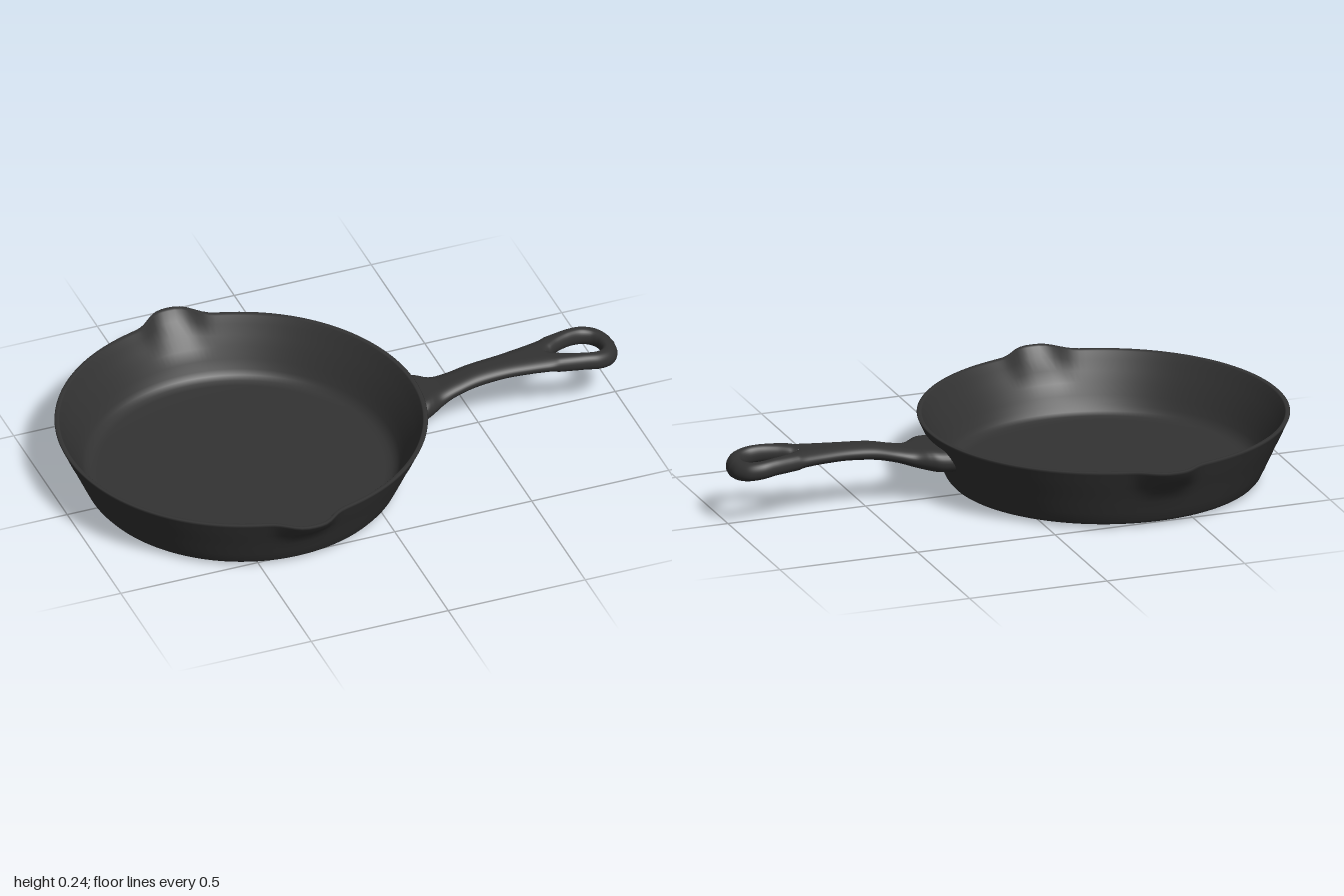
import * as THREE from 'three';
import { mergeVertices } from 'three/addons/utils/BufferGeometryUtils.js';

const { smoothstep, lerp, clamp } = THREE.MathUtils;
const PAN_X = -0.365;
const iron = new THREE.MeshStandardMaterial({ color: 0x333333 });

// Weld seams and rebuild smooth normals
function smooth(geometry) {
  geometry.deleteAttribute('uv');
  geometry.deleteAttribute('normal');
  const g = mergeVertices(geometry, 1e-5);
  g.computeVertexNormals();
  return g;
}

// Lathed pan, with a pouring spout pulled out of the rim at +z and -z
function panGeometry() {
  const profile = [
    [0, 0], [0.3, 0.002], [0.49, 0.007], [0.515, 0.009], [0.53, 0.014], [0.54, 0.026],
    [0.556, 0.06], [0.574, 0.1], [0.592, 0.14], [0.607, 0.17], [0.62, 0.2], [0.632, 0.226], [0.635, 0.233],
    [0.632, 0.236], [0.621, 0.236], [0.617, 0.232], [0.605, 0.205], [0.588, 0.17], [0.572, 0.135],
    [0.555, 0.095], [0.541, 0.063], [0.53, 0.045], [0.513, 0.034], [0.49, 0.03], [0.3, 0.028], [0, 0.028],
  ].map(([r, y]) => new THREE.Vector2(r, y));
  const g = new THREE.LatheGeometry(profile, 192, Math.PI / 2);
  const p = g.attributes.position;
  for (let i = 0; i < p.count; i++) {
    const x = p.getX(i), y = p.getY(i), z = p.getZ(i), r = Math.hypot(x, z);
    if (r < 0.54) continue;
    const a = Math.atan2(Math.abs(x), Math.abs(z));
    const bump = 0.9 * Math.exp(-((a / 0.14) ** 3)) + 0.1 * Math.exp(-((a / 0.2) ** 2));
    const k = 1 + (0.062 * bump * smoothstep(y, 0.12, 0.235)) / r;
    p.setXYZ(i, x * k, y + 0.007 * bump * smoothstep(y, 0.2, 0.236), z * k);
  }
  return smooth(g);
}

// Half a handle: each station spans from the centre line (or hole edge) to the outline
// inner x, inner z, outer x, outer z, top, bottom, rounding of the inner edge
const STATIONS = [
  [0.225, 0, 0.21, 0.122, 0.196, 0.115, 0],
  [0.27, 0, 0.265, 0.115, 0.2, 0.117, 0],
  [0.3, 0, 0.3, 0.1, 0.2, 0.124, 0],
  [0.345, 0, 0.345, 0.073, 0.197, 0.135, 0],
  [0.4, 0, 0.4, 0.059, 0.208, 0.153, 0],
  [0.48, 0, 0.48, 0.055, 0.226, 0.172, 0],
  [0.58, 0, 0.58, 0.057, 0.234, 0.182, 0],
  [0.67, 0, 0.67, 0.068, 0.237, 0.185, 0],
  [0.735, 0, 0.735, 0.079, 0.239, 0.185, 0],
  [0.765, 0.008, 0.77, 0.085, 0.241, 0.184, 1],
  [0.805, 0.032, 0.805, 0.092, 0.242, 0.183, 1],
  [0.85, 0.049, 0.855, 0.101, 0.242, 0.182, 1],
  [0.895, 0.056, 0.91, 0.105, 0.242, 0.18, 1],
  [0.926, 0.044, 0.96, 0.087, 0.242, 0.18, 1],
  [0.94, 0.022, 0.99, 0.047, 0.242, 0.18, 1],
  [0.943, 0, 0.999, 0, 0.242, 0.18, 1],
];

function halfHandleGeometry() {
  const rows = 120, n = 16, cols = 2 * n + 1;
  const spline = new THREE.CubicInterpolant(STATIONS.map((_, i) => i), STATIONS.flat(), 7, new Float32Array(7));
  const edge = (d, r) => Math.sqrt(1 - (1 - clamp(d / r, 0, 1)) ** 2);
  const pos = [], index = [];
  for (let i = 0; i <= rows; i++) {
    const [ix, iz, ox, oz, top, bottom, s] = spline.evaluate((i / rows) * (STATIONS.length - 1));
    const z0 = Math.max(iz, 0), width = Math.hypot(ox - ix, oz - z0);
    const round = clamp(s, 0, 1);
    for (let j = 0; j < cols; j++) {
      // over the top from inside to outside, then back underneath
      const side = j <= n ? 1 : -1;
      const u = (1 - Math.cos((Math.PI * Math.min(j, 2 * n - j)) / n)) / 2;
      const outer = edge((1 - u) * width, Math.min(width * 0.8, lerp(0.046, 0.026, round)));
      const inner = lerp(1, edge(u * width, width * 0.4), round);
      const x = lerp(ix, ox, u);
      const dy = (side * (top - bottom) * outer * inner) / 2;
      const droop = 0.021 * clamp((x - 0.85) / 0.15, 0, 1) ** 1.5;
      // lean the root to follow the sloping pan wall
      const lean = 0.4 * dy * (1 - smoothstep(x, 0.22, 0.34));
      pos.push(x + lean, (top + bottom) / 2 + dy - droop, lerp(z0, Math.max(oz, 0), u));
      if (i < rows && j < cols - 1) {
        const a = i * cols + j, b = a + cols;
        index.push(a, a + 1, b, b, a + 1, b + 1);
      }
    }
  }
  const raw = new THREE.BufferGeometry();
  raw.setAttribute('position', new THREE.Float32BufferAttribute(pos, 3));
  raw.setIndex(index);
  const g = smooth(raw);
  // keep shading continuous across the centre line
  const p = g.attributes.position, nrm = g.attributes.normal, v = new THREE.Vector3();
  for (let i = 0; i < p.count; i++) {
    if (Math.abs(p.getZ(i)) > 1e-5) continue;
    v.fromBufferAttribute(nrm, i).setZ(0).normalize();
    nrm.setXYZ(i, v.x, v.y, v.z);
  }
  return g;
}

export function createModel() {
  const model = new THREE.Group();
  model.name = 'fryingPan';

  const pan = new THREE.Mesh(panGeometry(), iron);
  pan.name = 'panBody';
  pan.position.x = PAN_X;
  model.add(pan);

  const handle = new THREE.Group();
  handle.name = 'handle';
  const half = halfHandleGeometry();
  for (const side of [1, -1]) {
    const mesh = new THREE.Mesh(half, iron);
    mesh.name = side > 0 ? 'handleFrontHalf' : 'handleBackHalf';
    mesh.scale.z = side;
    handle.add(mesh);
  }
  model.add(handle);
  return model;
}
